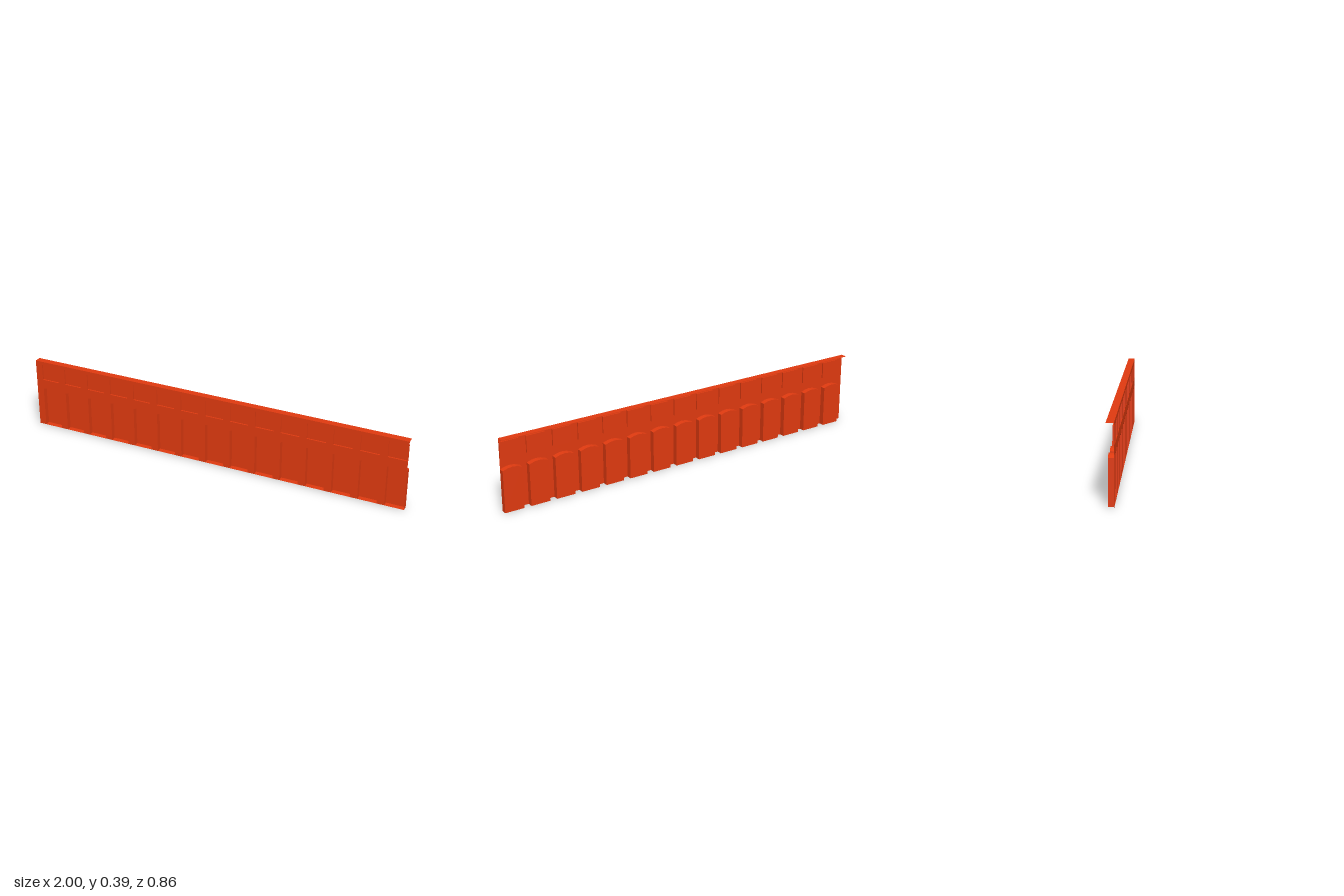
import * as THREE from 'three';

const ANGLE = 0.3953;            // the wall stands at a slant to the axes
const HALF = 1.076, HEIGHT = 0.39, DEPTH = 0.037;
const BAYS = 15, PITCH = 2 * HALF / BAYS, PIER = 0.039;
const NICHE = 0.029, PANEL = 0.008;   // recess depths
const SPRING = 0.225, CROWN = 0.237;

const red = new THREE.MeshStandardMaterial({ color: 0xe03a10, side: THREE.DoubleSide });

function addMesh(parent, name, geometry, z = 0) {
  const mesh = new THREE.Mesh(geometry, red);
  mesh.name = name;
  mesh.position.z = z;
  parent.add(mesh);
  return mesh;
}

// Flat-shaded strip running back from a closed outline
function reveal(points, depth) {
  const pos = [];
  points.forEach((a, i) => {
    const b = points[(i + 1) % points.length];
    pos.push(a.x, a.y, 0, a.x, a.y, -depth, b.x, b.y, 0);
    pos.push(b.x, b.y, 0, a.x, a.y, -depth, b.x, b.y, -depth);
  });
  const g = new THREE.BufferGeometry();
  g.setAttribute('position', new THREE.Float32BufferAttribute(pos, 3));
  g.computeVertexNormals();
  return g;
}

// A sunk field: its side faces and its back
function addRecess(parent, name, points, depth) {
  addMesh(parent, name + 'Reveal', reveal(points, depth));
  addMesh(parent, name + 'Back', new THREE.ShapeGeometry(new THREE.Shape(points)), -depth);
}

export function createModel() {
  const model = new THREE.Group();
  model.name = 'arcadeWall';
  const wall = new THREE.Group();
  wall.name = 'wall';
  wall.rotation.y = ANGLE;
  model.add(wall);

  // Outline of the shallow-arched niche, from bottom left over the crown
  const niche = [new THREE.Vector2(PIER, 0)];
  for (let i = 0; i <= 4; i++) {
    const u = i / 4;
    niche.push(new THREE.Vector2(PIER + u * (PITCH - PIER),
      SPRING + (CROWN - SPRING) * (1 - (2 * u - 1) ** 2)));
  }
  niche.push(new THREE.Vector2(PITCH, 0));

  // Outline of the upper sunk panel
  const right = PITCH - 0.0008;
  const panel = [[PIER, 0.28], [right, 0.28], [right, 0.37], [PIER, 0.37]]
    .map(([x, y]) => new THREE.Vector2(x, y));

  // Front skin of one bay: pier on the left, field above the arch
  const skin = new THREE.Shape([
    new THREE.Vector2(0, 0), ...niche.slice(0, -1),
    new THREE.Vector2(PITCH, HEIGHT), new THREE.Vector2(0, HEIGHT),
  ]);
  skin.holes.push(new THREE.Path(panel));
  const skinGeometry = new THREE.ShapeGeometry(skin);

  for (let i = 0; i < BAYS; i++) {
    const bay = new THREE.Group();
    bay.name = 'bay' + (i + 1);
    bay.position.set(-HALF + i * PITCH, 0, DEPTH / 2);
    addMesh(bay, 'frontSkin', skinGeometry);
    addRecess(bay, 'niche', niche, NICHE);
    addRecess(bay, 'upperPanel', panel, PANEL);
    wall.add(bay);
  }

  // Flat top covering the wall's full thickness
  const cap = new THREE.PlaneGeometry(2 * HALF, DEPTH).rotateX(-Math.PI / 2);
  addMesh(wall, 'topCap', cap).position.y = HEIGHT;

  return model;
}
